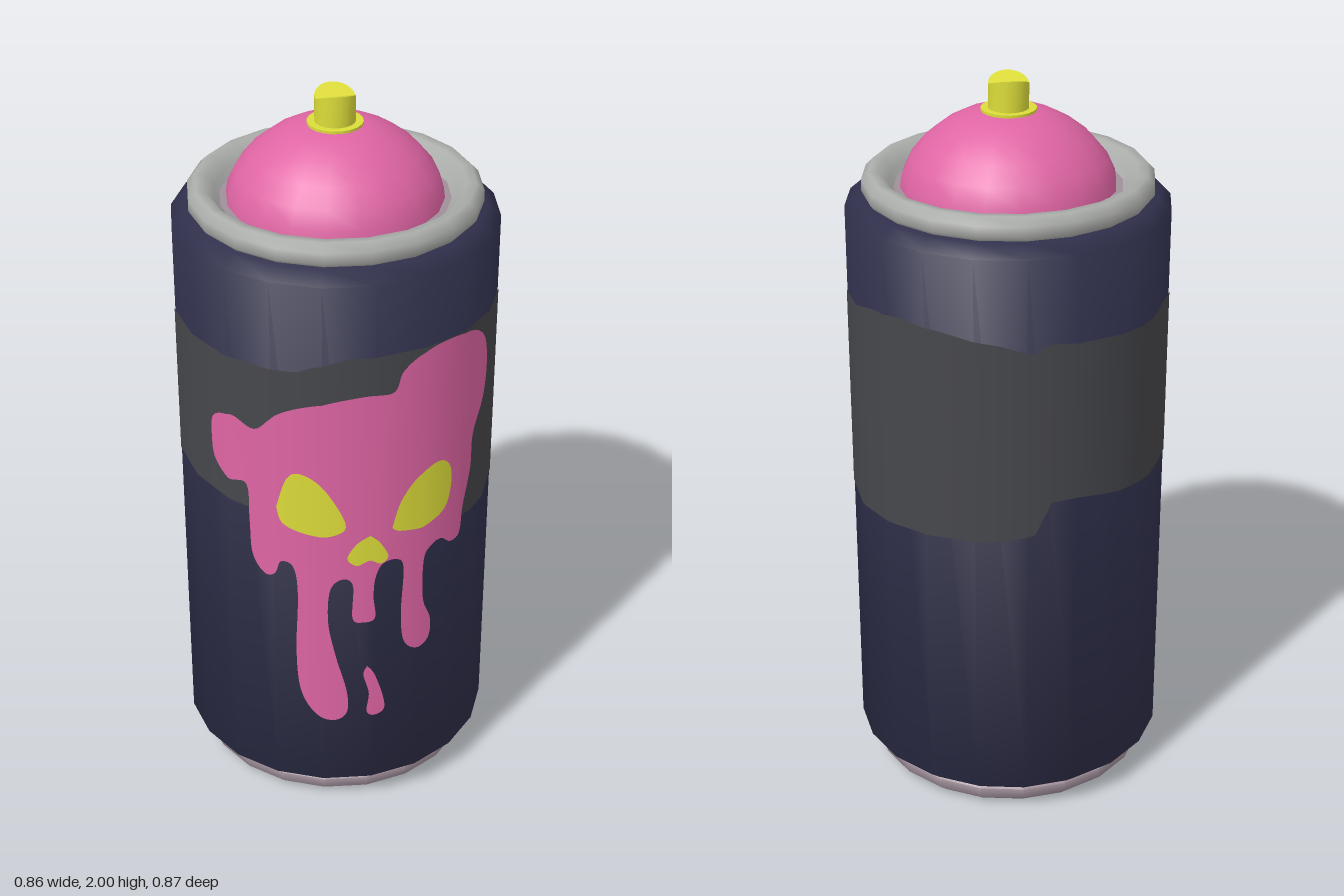
import * as THREE from 'three';
import { toCreasedNormals } from 'three/addons/utils/BufferGeometryUtils.js';

const SIDES = 20, R = 0.43, STEP = (Math.PI * 2) / SIDES;

const mat = (name, color) => Object.assign(new THREE.MeshStandardMaterial({ color }), { name });
const navy = mat('navy paint', 0x2f2f4b);
const charcoal = mat('charcoal paint', 0x46474c);
const pink = mat('pink', 0xdf65a4);
const yellow = mat('yellow', 0xdcdc3a);
const metal = mat('grey metal', 0xabadaa);
const mauve = mat('mauve metal', 0xa08f9a);

function part(name, geometry, material) {
  const mesh = new THREE.Mesh(geometry, material);
  mesh.name = name;
  return mesh;
}

function turned(name, profile, material, crease = 0.9) {
  const points = profile.map(([r, y]) => new THREE.Vector2(r, y));
  return part(name, toCreasedNormals(new THREE.LatheGeometry(points, SIDES), crease), material);
}

function meshFromTriangles(name, triangles, material) {
  const geometry = new THREE.BufferGeometry();
  const normals = triangles.flatMap(([x, , z]) => {
    const l = Math.hypot(x, z);
    return [x / l, 0, z / l];
  });
  geometry.setAttribute('position', new THREE.Float32BufferAttribute(triangles.flat(), 3));
  geometry.setAttribute('normal', new THREE.Float32BufferAttribute(normals, 3));
  return part(name, geometry, material);
}

// Keep the part of a convex polygon where sign * (x - limit) >= 0
function clip(polygon, limit, sign) {
  const out = [];
  polygon.forEach((p, i) => {
    const q = polygon[(i + 1) % polygon.length];
    const dp = sign * (p[0] - limit), dq = sign * (q[0] - limit);
    if (dp >= 0) out.push(p);
    if (dp * dq < 0) {
      const t = dp / (dp - dq);
      out.push([limit, p[1] + (q[1] - p[1]) * t]);
    }
  });
  return out;
}

// Flat outline (hundredths of a unit) pressed onto the front facets of the can
function paint(name, outline, lift, material) {
  const [first, ...rest] = outline.map(([x, y]) => new THREE.Vector2(x / 100, y / 100));
  const shape = new THREE.Shape().moveTo(first.x, first.y);
  shape.splineThru([...rest, first]);
  const flat = new THREE.ShapeGeometry(shape, outline.length * 4);
  const pos = flat.attributes.position, index = flat.index.array;
  const r = R + lift, triangles = [];
  for (let t = 0; t < index.length; t += 3) {
    const tri = [0, 1, 2].map((k) => [pos.getX(index[t + k]), pos.getY(index[t + k])]);
    for (let s = -5; s < 5; s++) {
      const x0 = r * Math.sin(s * STEP), x1 = r * Math.sin((s + 1) * STEP);
      const z0 = r * Math.cos(s * STEP), z1 = r * Math.cos((s + 1) * STEP);
      const cell = clip(clip(tri, x0, 1), x1, -1)
        .map(([x, y]) => [x, y, z0 + ((z1 - z0) * (x - x0)) / (x1 - x0)]);
      for (let i = 1; i < cell.length - 1; i++) triangles.push(cell[0], cell[i], cell[i + 1]);
    }
  }
  return meshFromTriangles(name, triangles, material);
}

// Wavy stripe round the can: [degrees from the front towards +x, top, bottom]
const BAND = [
  [0, 1.465, 0.95], [15, 1.465, 0.92], [45, 1.46, 0.875], [69, 1.455, 0.885], [83, 1.435, 0.87],
  [90, 1.43, 0.86], [104, 1.435, 0.85], [120, 1.46, 0.857], [135, 1.47, 0.865], [150, 1.46, 0.87],
  [171, 1.435, 0.875], [183, 1.41, 0.895], [186, 1.43, 0.94], [189, 1.435, 0.985], [198, 1.43, 0.99],
  [210, 1.425, 0.975], [228, 1.415, 0.96], [246, 1.435, 0.965], [258, 1.445, 0.985], [270, 1.43, 1.0],
  [303, 1.42, 0.985], [333, 1.42, 0.97], [339, 1.44, 0.965], [351, 1.463, 0.955], [360, 1.465, 0.95],
];

function wavyBand() {
  const r = R + 0.002;
  const column = (deg) => {
    const i = Math.max(1, BAND.findIndex((row) => row[0] >= deg));
    const [a, b] = [BAND[i - 1], BAND[i]], t = (deg - a[0]) / (b[0] - a[0]);
    const angle = THREE.MathUtils.degToRad(deg);
    const radius = (r * Math.cos(STEP / 2)) / Math.cos((angle % STEP) - STEP / 2);
    const at = (k) => [radius * Math.sin(angle), a[k] + (b[k] - a[k]) * t, radius * Math.cos(angle)];
    return [at(1), at(2)];
  };
  const triangles = [];
  for (let deg = 0; deg < 360; deg += 3) {
    const [t0, b0] = column(deg), [t1, b1] = column(deg + 3);
    triangles.push(b0, b1, t1, b0, t1, t0);
  }
  return meshFromTriangles('wavyBand', triangles, charcoal);
}

const SKULL = [
  [-38, 115], [-37.5, 122], [-34, 125], [-29, 123], [-24, 129], [-15, 133], [-2, 135.5], [5, 135.5],
  [7.5, 141], [13, 145], [20, 146], [27.5, 145], [33, 140], [34.5, 131], [33.5, 121], [30, 112],
  [29.5, 102], [27, 91.5], [26, 84], [23, 82.5], [20, 85], [17, 84.5], [14.5, 81], [14.5, 68],
  [17, 60], [16.5, 53.5], [12.5, 52], [9, 55.5], [8, 65], [8.5, 80], [6.5, 83.5], [2.5, 83],
  [0.5, 79], [0, 73], [0.5, 66], [-2.5, 64.5], [-5.5, 66], [-5.5, 77], [-8.5, 79], [-11.5, 75.5],
  [-12, 65], [-10, 53.5], [-7, 41], [-7, 33.5], [-10.5, 31], [-15.5, 33.5], [-19, 41], [-20, 54.5],
  [-19.5, 73], [-20.5, 82], [-23.5, 83.5], [-25, 79.5], [-27.5, 78.5], [-30, 83.5], [-30.5, 94],
  [-31, 105], [-35, 105], [-37.5, 109],
];
const DRIP = [[-1.5, 49.5], [0.5, 46.5], [3, 38.5], [3.5, 33.5], [1, 32], [-1.5, 33.5], [-1, 40], [-2.5, 46.5]];
const RIGHT_EYE = [[-24.5, 101], [-22, 110], [-18.5, 112], [-13, 108], [-7.5, 97], [-10.5, 93.5], [-17.5, 93.5], [-23, 96]];
const LEFT_EYE = [[5, 94], [7.5, 102], [12.5, 108.5], [18.5, 110.5], [22, 107.5], [22.5, 101], [20.5, 94.5], [14.5, 92], [7.5, 92.5]];
const NOSE = [[-1, 93], [1.5, 90.5], [4, 85.5], [2, 83.5], [-1, 85], [-4.5, 83.5], [-7, 86], [-4.5, 90.5]];

// Spray button with a V-shaped valley across its top
function nozzle() {
  const geometry = new THREE.CylinderGeometry(0.053, 0.053, 0.1, 20);
  geometry.translate(0, 1.95, 0);
  const p = geometry.attributes.position;
  for (let i = 0; i < p.count; i++) {
    if (p.getY(i) > 1.95) p.setY(i, 1.98 + (0.02 * Math.abs(p.getZ(i))) / 0.053);
  }
  return part('nozzle', toCreasedNormals(geometry, 0.5), yellow);
}

export function createModel() {
  const can = new THREE.Group();
  can.name = 'sprayCan';

  // Can body and metal rings
  can.add(
    turned('body', [[0.34, 0.06], [0.395, 0.065], [R, 0.095], [R, 1.665], [0.395, 1.695], [0.3, 1.695]], navy),
    turned('baseRing', [[0, 0.03], [0.295, 0.03], [0.305, 0.01], [0.325, 0], [0.36, 0], [0.385, 0.022], [0.385, 0.05], [0.365, 0.066]], mauve),
    turned('topRim', [[0.345, 1.69], [0.375, 1.692], [0.385, 1.705], [0.385, 1.735], [0.365, 1.755], [0.34, 1.753], [0.315, 1.725], [0.297, 1.705]], metal),
    turned('valvePlate', [[0.31, 1.71], [0.27, 1.71]], mauve),
  );

  // Domed top, collar and nozzle
  can.add(
    turned('dome', [[0.285, 1.7], [0.28, 1.74], [0.258, 1.787], [0.22, 1.833], [0.17, 1.872], [0.125, 1.896], [0.085, 1.91], [0, 1.91]], pink),
    turned('nozzleCollar', [[0.073, 1.9], [0.073, 1.917], [0.05, 1.917]], yellow),
    nozzle(),
  );

  // Painted decoration
  can.add(
    wavyBand(),
    paint('drippingSkull', SKULL, 0.004, pink),
    paint('looseDrip', DRIP, 0.004, pink),
    paint('rightEye', RIGHT_EYE, 0.006, yellow),
    paint('leftEye', LEFT_EYE, 0.006, yellow),
    paint('nose', NOSE, 0.006, yellow),
  );
  return can;
}
